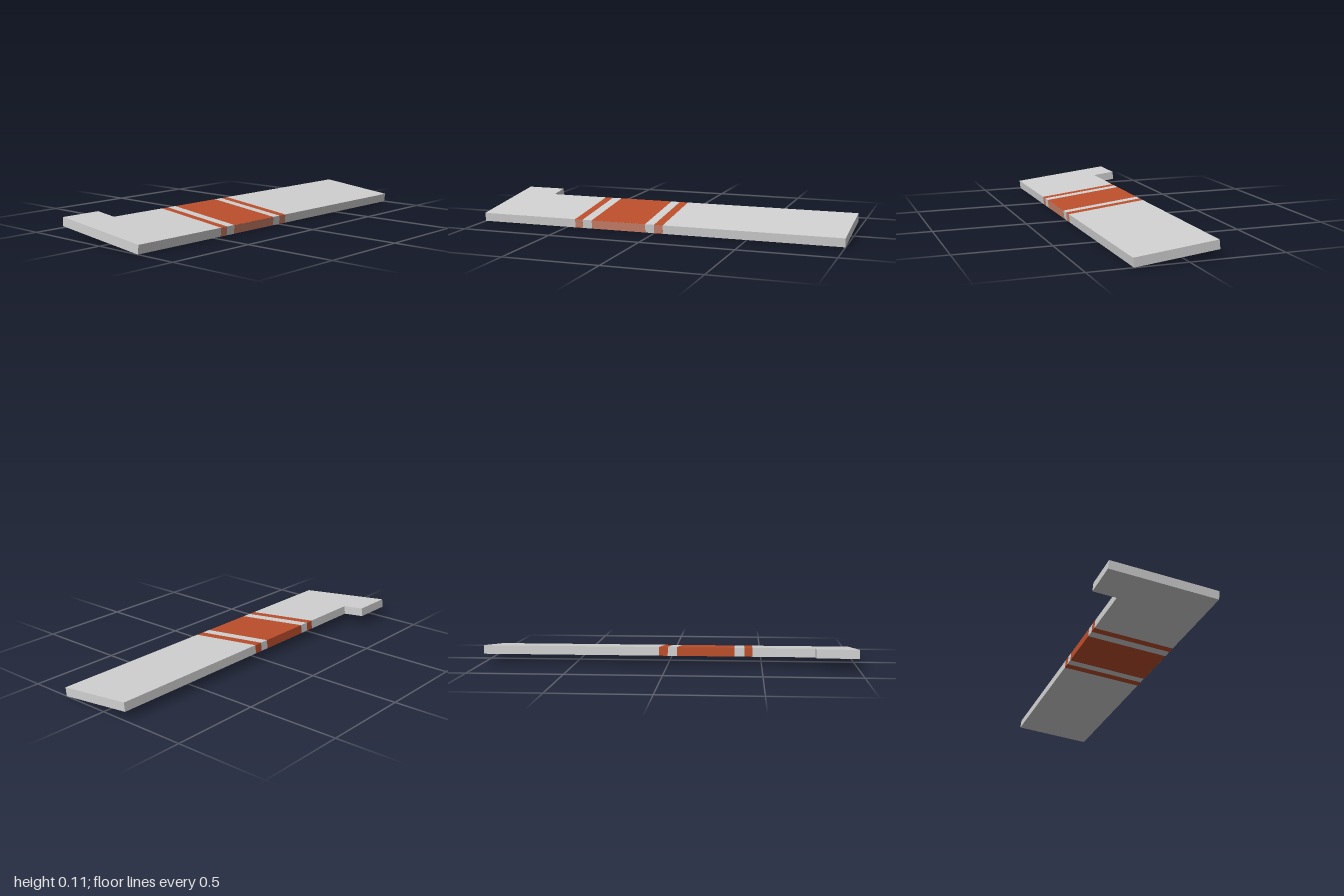
import * as THREE from 'three';

const THICK = 0.0465, TILT = 0.111;

// Depth of the slab at x; the back edge runs very slightly askew.
const depthAt = (x) => 0.430 - 0.002 * (x + 0.78) / 1.78;

function makeMaterial(name, color) {
  const m = new THREE.MeshStandardMaterial({ color });
  m.name = name;
  return m;
}

// Extrudes a plan outline of [x, depth] points upward.
function slab(name, points, material) {
  const shape = new THREE.Shape(points.map(([x, d]) => new THREE.Vector2(x, d)));
  const geo = new THREE.ExtrudeGeometry(shape, { depth: THICK, bevelEnabled: false });
  geo.rotateX(-Math.PI / 2);
  const mesh = new THREE.Mesh(geo, material);
  mesh.name = name;
  return mesh;
}

const strip = (x0, x1) => [[x0, 0], [x1, 0], [x1, depthAt(x1)], [x0, depthAt(x0)]];

export function createModel() {
  const grey = makeMaterial('light grey', 0xd0d0d0);
  const orange = makeMaterial('burnt orange', 0xbb4e2b);
  const pale = makeMaterial('pale orange', 0xcc8069);

  const model = new THREE.Group();
  model.name = 'tiltedPanel';
  const panel = new THREE.Group();
  panel.name = 'panel';

  // Right end with its rear tab
  panel.add(slab('tabbedEnd', [
    [-1, 0], [-0.452, 0], [-0.452, depthAt(-0.452)],
    [-0.78, depthAt(-0.78)], [-0.78, 0.553], [-1, 0.553],
  ], grey));

  // Plain sections between and beyond the stripes
  for (const [a, b] of [[-0.408, -0.355], [-0.05, 0], [0.048, 1]]) {
    panel.add(slab('plainSection', strip(a, b), grey));
  }

  // Stripes run through the slab, with a paler face on the front edge
  for (const [a, b] of [[-0.452, -0.408], [-0.355, -0.05], [0, 0.048]]) {
    panel.add(slab('stripe', strip(a, b), orange));
    const edge = new THREE.Mesh(new THREE.BoxGeometry(b - a, THICK - 0.001, 0.001), pale);
    edge.position.set((a + b) / 2, THICK / 2, 0.0005);
    edge.name = 'stripeFrontEdge';
    panel.add(edge);
  }

  // Lean the panel so the back edge is raised
  panel.rotation.x = TILT;
  panel.position.z = 0.272;
  model.add(panel);
  return model;
}
